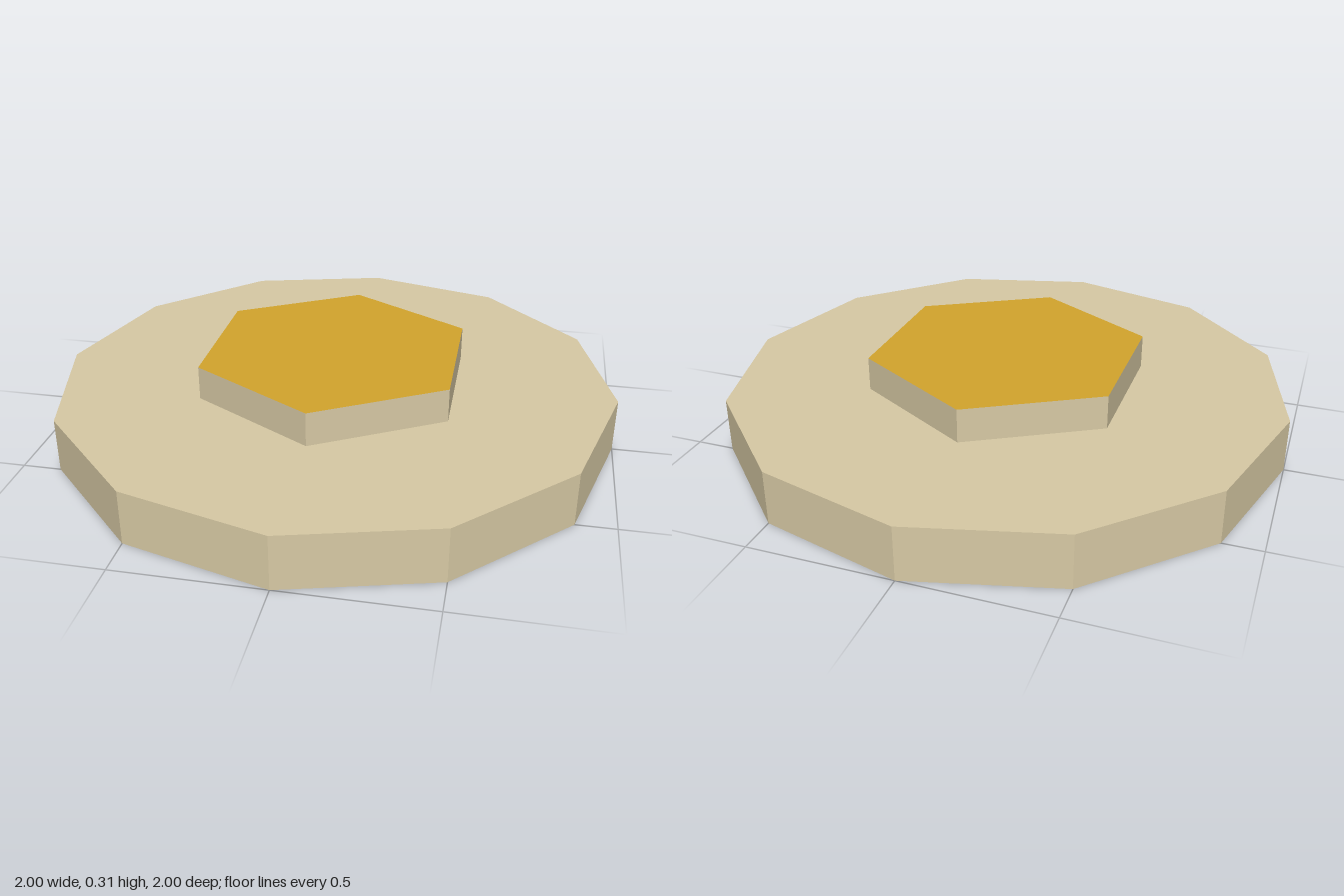
import * as THREE from 'three';

const stone = new THREE.MeshStandardMaterial({ color: 0xd8caa5 });
stone.name = 'sandstone';
const gold = new THREE.MeshStandardMaterial({ color: 0xd4a52c });
gold.name = 'gold';

// Upright prism with flat-shaded sides, standing on height y
function prism(name, radius, height, sides, y, top) {
  const geometry = new THREE.CylinderGeometry(radius, radius, height, sides).toNonIndexed();
  geometry.computeVertexNormals();
  // material order: side, top, bottom
  const mesh = new THREE.Mesh(geometry, [stone, top, stone]);
  mesh.name = name;
  mesh.position.y = y + height / 2;
  return mesh;
}

export function createModel() {
  const model = new THREE.Group();
  model.name = 'pressurePlate';
  // Twelve-sided base slab
  model.add(prism('base', 1, 0.19, 12, 0, stone));
  // Raised hexagon with a gold top
  model.add(prism('hexagonPlate', 0.5, 0.12, 6, 0.19, gold));
  return model;
}
